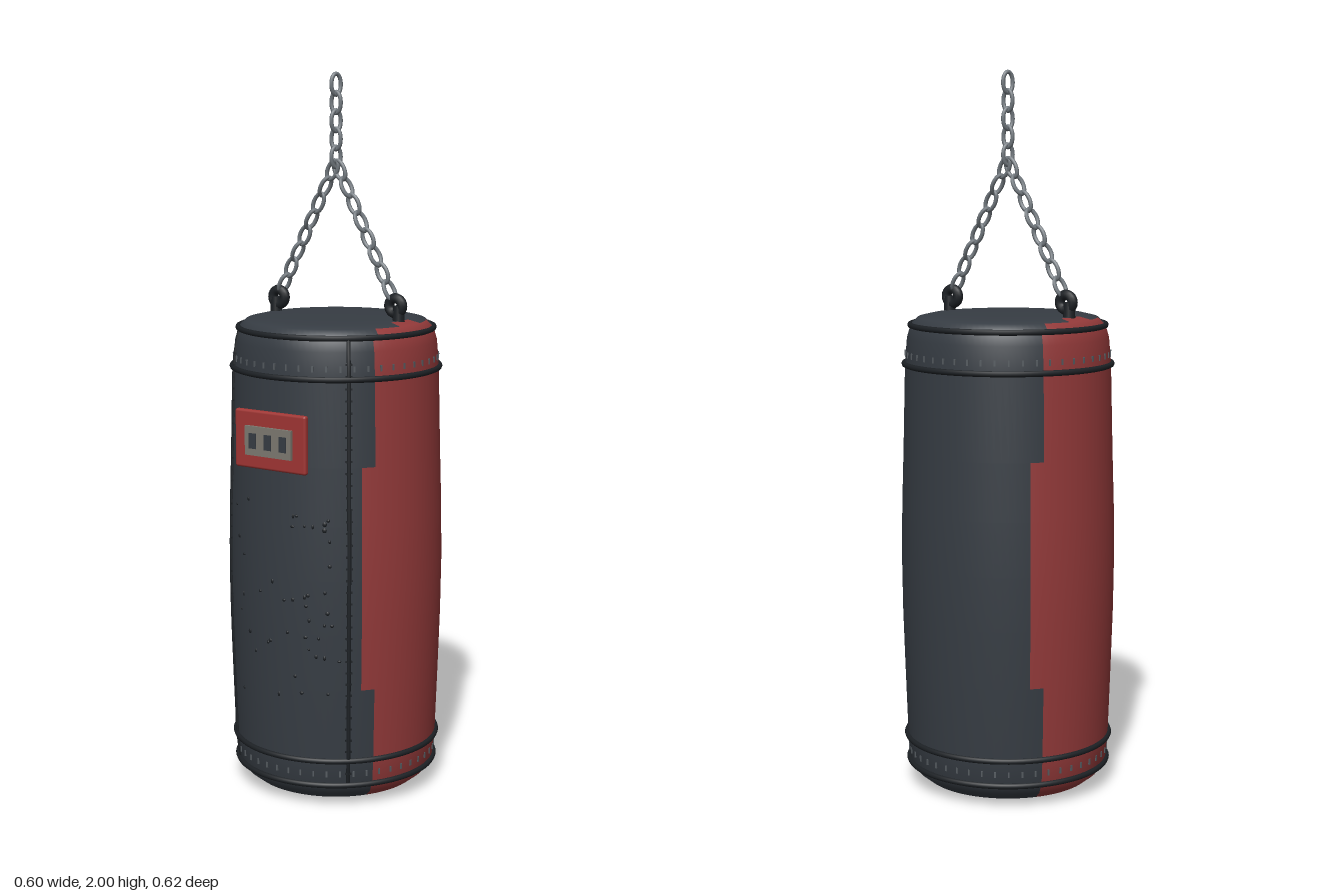
import * as THREE from 'three';
import { RoundedBoxGeometry } from 'three/addons/geometries/RoundedBoxGeometry.js';

const mat = (name, color) => {
  const m = new THREE.MeshStandardMaterial({ color });
  m.name = name;
  return m;
};
const V = (x, y, z = 0) => new THREE.Vector3(x, y, z);

// body outline as [radius, height], bottom to top
const PROFILE = [
  [0, 0], [0.12, 0.001], [0.2, 0.005], [0.235, 0.014], [0.263, 0.036], [0.28, 0.07], [0.286, 0.14],
  [0.293, 0.34], [0.298, 0.5], [0.3, 0.65], [0.298, 0.8], [0.293, 0.96], [0.287, 1.2],
  [0.281, 1.27], [0.27, 1.308], [0.25, 1.326], [0.215, 1.334], [0.12, 1.337], [0, 1.338],
];

function radiusAt(y) {
  for (let i = 1; i < PROFILE.length; i++) {
    const [r0, y0] = PROFILE[i - 1], [r1, y1] = PROFILE[i];
    if (y <= y1) return r0 + (r1 - r0) * (y - y0) / (y1 - y0);
  }
  return 0;
}
const onBody = (phi, y, out = 0) => {
  const r = radiusAt(y) + out;
  return V(r * Math.sin(phi), y, r * Math.cos(phi));
};

// half-width in degrees of the side panels at a given height and radius
function panelHalfAngle(y, r) {
  if (y < 0.02 || (y > 1.3 && r < 0.215)) return 0;
  if (y > 1.318) return 13;
  if (y > 1.29) return 30;
  if (y > 0.34 && y < 0.96) return 39.4;
  return 35;
}

export function createModel() {
  const dark = mat('charcoal leather', 0x363c43);
  const red = mat('red leather', 0x943a3a);
  const patchRed = mat('patch red', 0xa03533);
  const black = mat('black trim', 0x1d2125);
  const steel = mat('steel', 0x737a80);
  const thread = mat('thread', 0x555b60);
  const plate = mat('plate grey', 0x7d7970);

  const model = new THREE.Group();
  const bag = new THREE.Group();
  bag.name = 'bag';
  bag.position.z = -0.012;
  model.add(bag);
  const add = (name, geo, material, pos, parent = bag) => {
    const m = new THREE.Mesh(geo, material);
    m.name = name;
    if (pos) m.position.copy(pos);
    parent.add(m);
    return m;
  };
  const group = (name) => {
    const g = new THREE.Group();
    g.name = name;
    bag.add(g);
    return g;
  };

  // body: one lathe, triangles sorted into leather colours
  const body = new THREE.LatheGeometry(PROFILE.map(([r, y]) => new THREE.Vector2(r, y)), 96);
  const p = body.attributes.position, idx = body.index.array, sorted = [[], []];
  for (let i = 0; i < idx.length; i += 6) {
    const quad = Array.from(idx.slice(i, i + 6));
    const c = V(0, 0);
    let r = 0;
    for (const k of quad) {
      c.add(V(p.getX(k), p.getY(k), p.getZ(k)));
      r += Math.hypot(p.getX(k), p.getZ(k));
    }
    c.divideScalar(6);
    const angle = THREE.MathUtils.radToDeg(Math.atan2(Math.abs(c.z), Math.abs(c.x)));
    sorted[angle < panelHalfAngle(c.y, r / 6) ? 1 : 0].push(...quad);
  }
  body.setIndex([...sorted[0], ...sorted[1]]);
  body.addGroup(0, sorted[0].length, 0);
  body.addGroup(sorted[0].length, sorted[1].length, 1);
  add('body', body, [dark, red]);

  // piping rings
  for (const [y, r] of [[1.305, 0.272], [1.197, 0.289], [0.137, 0.288], [0.065, 0.282]]) {
    add('pipingRing', new THREE.TorusGeometry(r, 0.008, 8, 96), black, V(0, y)).rotation.x = Math.PI / 2;
  }

  // stitches around the top and bottom bands
  const bandStitches = group('bandStitches');
  const stitchGeo = new THREE.BoxGeometry(0.005, 0.016, 0.004);
  for (const y of [1.225, 0.098]) {
    for (let i = 0; i < 48; i++) {
      const a = (i / 48) * Math.PI * 2;
      add('bandStitch', stitchGeo, thread, onBody(a, y, 0.001), bandStitches).rotation.y = a;
    }
  }

  // vertical front seams with cross stitches
  const seamStitch = new THREE.BoxGeometry(0.018, 0.005, 0.006);
  for (const s of [-1, 1]) {
    const a = s * THREE.MathUtils.degToRad(42);
    const pts = [];
    for (let i = 0; i <= 16; i++) pts.push(onBody(a, 0.06 + (1.245 * i) / 16, 0.001));
    const seam = group('seam');
    add('seamPiping', new THREE.TubeGeometry(new THREE.CatmullRomCurve3(pts), 48, 0.006, 6), black, null, seam);
    for (let i = 0; i < 36; i++) {
      add('seamStitch', seamStitch, black, onBody(a, 0.1 + i * 0.0325, 0.001), seam).rotation.y = a;
    }
  }

  // scuff marks on the front
  let seed = 7;
  const rand = () => (seed = (seed * 16807) % 2147483647) / 2147483647;
  const scuffs = group('scuffs');
  const scuffGeo = new THREE.SphereGeometry(0.005, 8, 6);
  for (let i = 0; i < 44; i++) {
    const a = -0.55 + rand() * 1.2, y = 0.3 + rand() * 0.57;
    const m = add('scuff', scuffGeo, black, onBody(a, y), scuffs);
    m.rotation.y = a;
    m.scale.set(0.7 + rand() * 0.6, 0.7 + rand() * 0.7, 0.6);
  }

  // front patch with a plate and three dark bars
  const patch = group('frontPatch');
  add('patchBase', new RoundedBoxGeometry(0.236, 0.16, 0.018, 2, 0.007), patchRed, V(0, 1.025, 0.3), patch);
  add('patchPlate', new THREE.BoxGeometry(0.154, 0.08, 0.01), plate, V(0, 1.023, 0.313), patch);
  for (const x of [-0.05, 0, 0.05]) {
    add('patchBar', new THREE.BoxGeometry(0.024, 0.042, 0.004), dark, V(x, 1.023, 0.318), patch);
  }

  // oval chain link, long axis along y
  const oval = [];
  for (let i = 0; i < 16; i++) {
    const t = (i / 16) * Math.PI * 2;
    oval.push(V(0.0155 * Math.cos(t), 0.0285 * Math.sin(t)));
  }
  const linkGeo = new THREE.TubeGeometry(new THREE.CatmullRomCurve3(oval, true), 24, 0.0058, 8, true);
  const chain = (name, from, to, count) => {
    const g = group(name);
    const dir = to.clone().sub(from).normalize();
    const aim = new THREE.Quaternion().setFromUnitVectors(V(0, 1), dir);
    for (let i = 0; i < count; i++) {
      const link = add('chainLink', linkGeo, steel, from.clone().lerp(to, i / (count - 1)), g);
      const twist = i % 2 ? 0 : Math.PI / 2 - 0.35;
      link.quaternion.copy(aim).multiply(new THREE.Quaternion().setFromAxisAngle(V(0, 1), twist));
    }
  };

  // hanging loops and the two sloping chains
  for (const s of [-1, 1]) {
    const hook = group(s > 0 ? 'leftLoop' : 'rightLoop');
    add('loopPost', new THREE.CylinderGeometry(0.015, 0.017, 0.05, 12), black, V(s * 0.208, 1.35), hook);
    add('loopRing', new THREE.TorusGeometry(0.021, 0.014, 10, 20), black, V(s * 0.198, 1.374), hook);
    chain(s > 0 ? 'leftChain' : 'rightChain', V(s * 0.178, 1.415), V(s * 0.012, 1.735), 8);
  }
  chain('topChain', V(0, 1.77), V(0, 1.9657), 5);

  return model;
}
